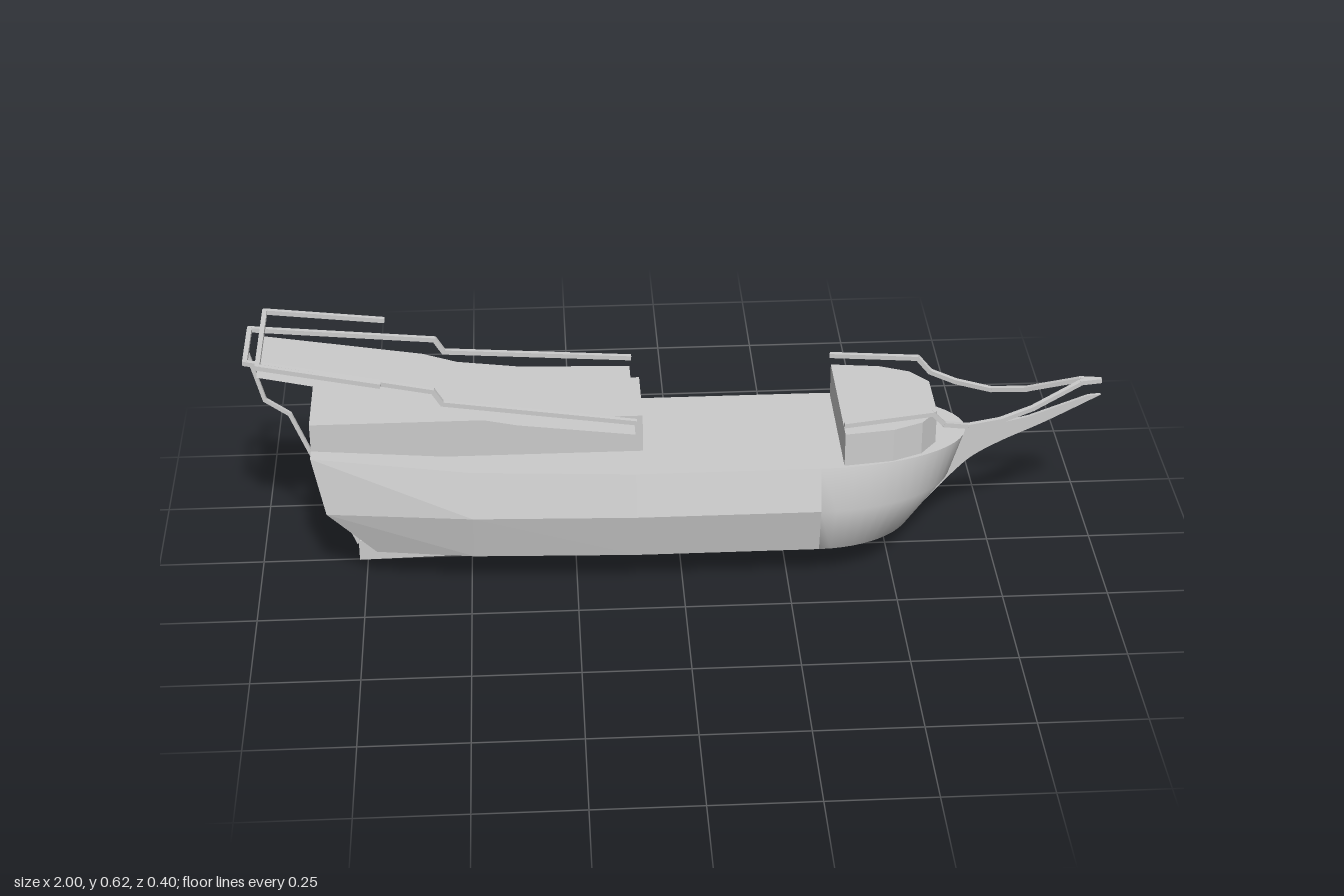
import * as THREE from 'three';
import { mergeGeometries } from 'three/addons/utils/BufferGeometryUtils.js';

const V = (x, y, z) => new THREE.Vector3(x, y, z);
const mat = (opts = {}) => new THREE.MeshStandardMaterial({ color: 0xcccccc, ...opts });
const flat = () => mat({ flatShading: true });

// Skin through rows of points
function loft(rows) {
  const n = rows[0].length, index = [];
  for (let i = 0; i < rows.length - 1; i++) {
    for (let j = 0; j < n - 1; j++) {
      const a = i * n + j, b = a + 1, c = a + n, d = c + 1;
      index.push(a, c, b, b, c, d);
    }
  }
  const g = new THREE.BufferGeometry().setFromPoints(rows.flat());
  g.setIndex(index);
  g.computeVertexNormals();
  return g;
}

// Square bar following a list of points
function bar(points, size = 0.011) {
  const parts = [];
  for (let i = 0; i < points.length - 1; i++) {
    const a = points[i], b = points[i + 1];
    const g = new THREE.BoxGeometry(size, size, a.distanceTo(b) + size * 0.6);
    const o = new THREE.Object3D();
    o.position.copy(a).add(b).multiplyScalar(0.5);
    o.lookAt(b);
    o.updateMatrix();
    parts.push(g.applyMatrix4(o.matrix));
  }
  return mergeGeometries(parts);
}

const mirror = (points) => points.map((p) => V(p.x, p.y, -p.z));
const bothSides = (points) => mergeGeometries([bar(points), bar(mirror(points))]);
// One rail running round from the left side to the right
const across = (points) => bar([...points, ...mirror(points).reverse()]);

export function createModel() {
  const ship = new THREE.Group();
  const add = (name, geometry, material = flat()) => {
    const m = new THREE.Mesh(geometry, material);
    m.name = name;
    ship.add(m);
    return m;
  };

  // Hull stations: [x, y, half width] at deck, waist, bilge and bottom
  const stations = [
    [[-0.86, 0.36, 0.125], [-0.83, 0.22, 0.145], [-0.72, 0.1, 0.125], [-0.57, 0.054, 0.07]],
    [[-0.49, 0.33, 0.158], [-0.49, 0.22, 0.185], [-0.49, 0.1, 0.158], [-0.49, 0.052, 0.08]],
    [[-0.11, 0.323, 0.175], [-0.11, 0.22, 0.2], [-0.11, 0.1, 0.174], [-0.11, 0.05, 0.095]],
    [[0.32, 0.323, 0.175], [0.32, 0.22, 0.2], [0.32, 0.1, 0.174], [0.32, 0.05, 0.095]],
  ];
  const section = (s) => [
    ...s.map(([x, y, w]) => V(x, y, -w)),
    ...s.map(([x, y, w]) => V(x, y, w)).reverse(),
  ];
  // Rounded bow closing onto the stem
  const bowX = [0.68, 0.645, 0.555, 0.42];
  const bow = [];
  for (let i = 0; i <= 14; i++) {
    const t = (i / 14) * Math.PI / 2;
    bow.push(stations[3].map(([x, y, w], k) => [
      x + (bowX[k] - x) * Math.sin(t), y, w * Math.max(0, Math.cos(t)),
    ]));
  }
  add('hull', loft(stations.map(section)));
  add('bow', loft(bow.map(section)), mat());
  add('deck', loft([...stations, ...bow.slice(1)].map((s) => {
    const [x, y, w] = s[0];
    return [V(x, y, w), V(x, y, -w)];
  })));
  add('transom', loft(stations[0].map(([x, y, w]) => [V(x, y, -w), V(x, y, w)])));

  // Keel sweeping up into the beak
  const keel = new THREE.Shape();
  keel.moveTo(-0.77, 0);
  keel.lineTo(0.3, 0.02);
  keel.splineThru([[0.42, 0.032], [0.5, 0.058], [0.58, 0.11], [0.65, 0.19], [0.7, 0.24], [0.77, 0.282], [0.87, 0.33], [1, 0.4]]
    .map(([x, y]) => new THREE.Vector2(x, y)));
  keel.lineTo(0.97, 0.398);
  keel.lineTo(0.83, 0.345);
  keel.lineTo(0.74, 0.325);
  keel.lineTo(0.66, 0.32);
  keel.lineTo(0.55, 0.15);
  keel.lineTo(0.4, 0.054);
  keel.lineTo(-0.77, 0.054);
  const keelGeometry = new THREE.ExtrudeGeometry(keel, { depth: 0.008, bevelEnabled: false, curveSegments: 18 });
  add('keel', keelGeometry.translate(0, 0, -0.004));

  // Forecastle block with a tapered front
  const fore = new THREE.Shape([[0.375, -0.165], [0.49, -0.15], [0.56, -0.12], [0.6, -0.07],
    [0.6, 0.07], [0.56, 0.12], [0.49, 0.15], [0.375, 0.165]].map(([x, y]) => new THREE.Vector2(x, y)));
  add('forecastle', new THREE.ExtrudeGeometry(fore, { depth: 0.087, bevelEnabled: false })
    .rotateX(-Math.PI / 2).translate(0, 0.32, 0));

  // Aft cabin and the thin rising deck above it
  add('aftCabin', new THREE.BoxGeometry(0.77, 0.095, 0.18).translate(-0.475, 0.3825, 0));
  const aftDeck = [[-0.97, 0.565, 0.098], [-0.6, 0.495, 0.117], [-0.52, 0.465, 0.127],
    [-0.38, 0.442, 0.138], [-0.11, 0.421, 0.16]];
  add('aftDeck', loft(aftDeck.map(([x, y, w]) => [V(x, y, w), V(x, y, -w)])), mat({ side: THREE.DoubleSide }));

  // Rails
  add('aftRail', across([V(-0.11, 0.45, 0.152), V(-0.55, 0.497, 0.122), V(-0.57, 0.53, 0.122), V(-0.995, 0.594, 0.08)]));
  add('sternRail', across([V(-0.69, 0.568, 0.155), V(-0.962, 0.611, 0.133)]));
  add('bowRail', bothSides([V(0.375, 0.433, 0.165), V(0.58, 0.437, 0.132), V(0.61, 0.403, 0.124),
    V(0.67, 0.385, 0.105), V(0.75, 0.379, 0.073), V(0.83, 0.393, 0.046), V(0.95, 0.437, 0.007), V(0.995, 0.437, 0)]));

  // Stern post bending up from the keel to the aft deck
  add('sternPost', bar([V(-0.77, 0.05, 0), V(-0.84, 0.23, 0), V(-0.91, 0.41, 0), V(-0.965, 0.45, 0), V(-0.995, 0.57, 0)], 0.009));

  // Small three-sided fittings on the bow
  for (const side of [1, -1]) {
    const f = add(side > 0 ? 'bowFittingLeft' : 'bowFittingRight', new THREE.ConeGeometry(0.018, 0.04, 3));
    f.position.set(0.612, 0.236, 0.066 * side);
    f.rotation.y = side > 0 ? 0.4 : Math.PI - 0.4;
  }
  return ship;
}
